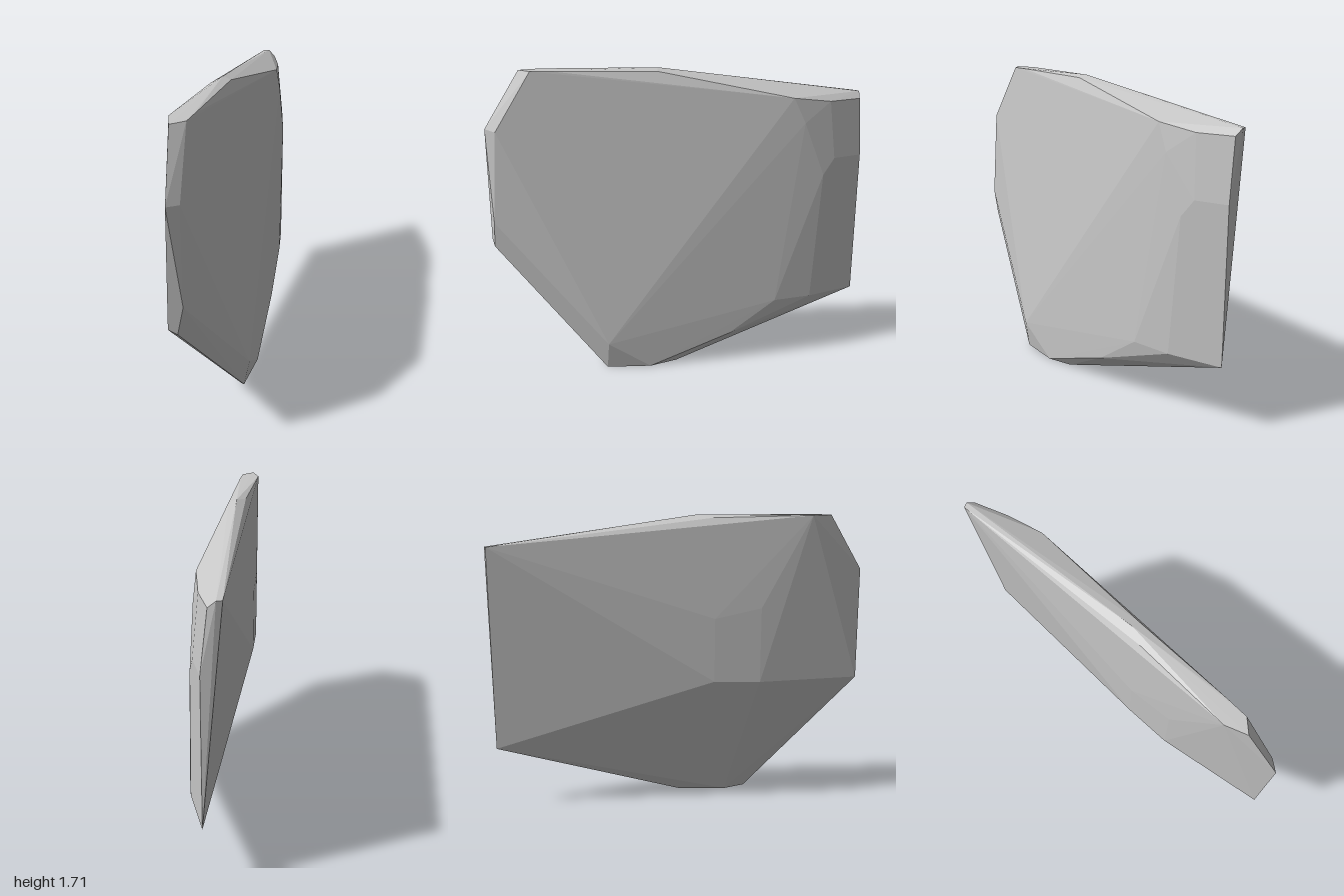
import * as THREE from 'three';
import { ConvexGeometry } from 'three/addons/geometries/ConvexGeometry.js';

const v = (x, y, z) => new THREE.Vector3(x, y, z);

export function createModel() {
  const group = new THREE.Group();
  group.name = 'rockShard';
  const stone = new THREE.MeshStandardMaterial({ color: 0xc6c6c6, flatShading: true });
  stone.name = 'stone grey';

  const corners = [
    // front edge
    v(-0.30, 1.38, 0.96), v(-0.365, 1.39, 1), v(-0.30, 0.87, 1),
    v(-0.33, 0.72, 1), v(-0.375, 0.75, 1),
    // top ridge
    v(-0.34, 1.70, 0.80), v(-0.26, 1.70, 0.76), v(-0.22, 1.70, 0.66), v(-0.34, 1.70, 0.68),
    v(-0.13, 1.69, 0.17), v(-0.06, 1.705, 0.10), v(-0.02, 1.69, 0.12), v(0.30, 1.54, -0.56),
    // back edge
    v(0.27, 1.545, -1), v(0.30, 1.545, -1), v(0.335, 1.51, -0.98), v(0.335, 1.51, -0.78),
    v(0.372, 1.19, -0.98), v(0.372, 1.19, -0.80), v(0.372, 0.36, -0.98), v(0.372, 0.36, -0.68),
    // soft bevel beside the back edge
    v(0.33, 1.40, -0.62), v(0.372, 1.10, -0.73),
    // underside
    v(0.335, 0.36, -0.46), v(0.26, 0.17, -0.20), v(0.13, 0, 0.25), v(0.14, 0.005, 0.09),
    v(0.03, 0, 0.35), v(0.02, 0.005, 0.48), v(0.03, 0, 0.48), v(0.06, 0.16, 0.48),
    // bulge of the right-hand broad face
    v(-0.18, 0.77, 0.16), v(-0.265, 0.76, 0.41), v(-0.265, 1.19, 0.41), v(-0.18, 1.135, 0.16),
  ];

  const shard = new THREE.Mesh(new ConvexGeometry(corners), stone);
  shard.name = 'shard';
  group.add(shard);
  return group;
}
